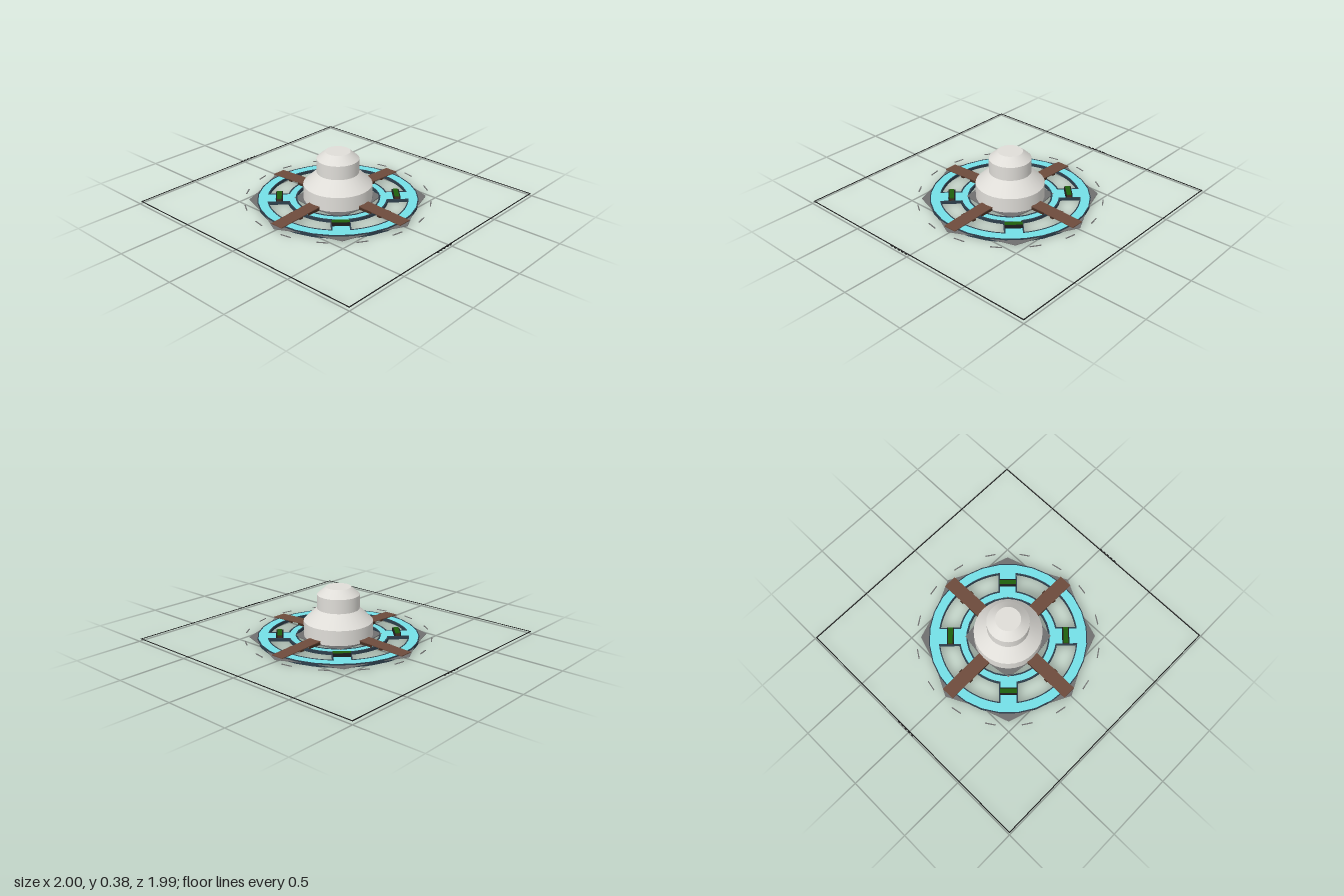
import * as THREE from 'three';

const mat = (name, color) => Object.assign(new THREE.MeshStandardMaterial({ color }), { name });

export function createModel() {
  const model = new THREE.Group();
  model.name = 'domedPlatform';
  const stone = mat('paleStone', 0xdfddd8);
  const cyan = mat('cyan', 0x74dfe7);
  const trimMat = mat('darkTrim', 0x2e3f4c);
  const brown = mat('brownWood', 0x6d4b3c);
  const darkBrown = mat('darkWood', 0x462e22);
  const green = mat('green', 0x1f600c);
  const grey = mat('grey', 0x707070);
  const black = mat('black', 0x1c1c1c);

  const add = (name, geometry, material, parent = model) => {
    const mesh = new THREE.Mesh(geometry, material);
    mesh.name = name;
    parent.add(mesh);
    return mesh;
  };
  const box = (name, size, pos, material, parent) => {
    const mesh = add(name, new THREE.BoxGeometry(...size), material, parent);
    mesh.position.set(...pos);
    return mesh;
  };
  // Flat plate: a shape drawn on the ground plane and raised from y0 to y1
  const plate = (name, shape, y0, y1, material) => {
    const g = new THREE.ExtrudeGeometry(shape, { depth: y1 - y0, bevelEnabled: false, curveSegments: 14 });
    g.rotateX(-Math.PI / 2).translate(0, y0, 0);
    return add(name, g, material);
  };
  const circle = (r, Kind = THREE.Path) => new Kind().absarc(0, 0, r, 0, Math.PI * 2, false);
  const ring = (name, rOut, rIn, y0, y1, material) => {
    const shape = circle(rOut, THREE.Shape);
    shape.holes.push(circle(rIn));
    return plate(name, shape, y0, y1, material);
  };
  // Opening between two diagonal spokes; half is half the spoke width
  const opening = (i, rOut, rIn, half, Kind = THREE.Path) => {
    const a = Math.PI / 4 + i * Math.PI / 2, b = a + Math.PI / 2;
    const o = Math.asin(half / rOut), n = Math.asin(half / rIn);
    const p = new Kind();
    p.absarc(0, 0, rOut, a + o, b - o, false);
    p.absarc(0, 0, rIn, b - n, a + n, true);
    p.closePath();
    return p;
  };
  const polar = (r, a) => new THREE.Vector2(r * Math.cos(a), r * Math.sin(a));

  // Stepped dome: stacked bands with sharp edges between them
  const profile = [[0.248, 0.027], [0.248, 0.136], [0.152, 0.227], [0.152, 0.329], [0.09, 0.383]];
  for (let i = 0; i < profile.length - 1; i++) {
    const [r0, y0] = profile[i], [r1, y1] = profile[i + 1];
    add('domeBand', new THREE.CylinderGeometry(r1, r0, y1 - y0, 32, 1, true), stone).position.y = (y0 + y1) / 2;
  }
  const cap = add('domeTop', new THREE.CircleGeometry(0.09, 32), stone);
  cap.rotation.x = -Math.PI / 2;
  cap.position.y = 0.383;
  plate('domeFloor', circle(0.248, THREE.Shape), 0.018, 0.027, grey);

  // Wheel-shaped walkway with four diagonal spokes and dark edges
  const wheel = circle(0.577, THREE.Shape);
  wheel.holes.push(circle(0.302));
  for (let i = 0; i < 4; i++) wheel.holes.push(opening(i, 0.505, 0.352, 0.06));
  plate('walkway', wheel, 0, 0.024, [cyan, trimMat]);

  // Dark borders along the openings, the inner edge and the outer rim
  for (let i = 0; i < 4; i++) {
    const border = opening(i, 0.507, 0.35, 0.058, THREE.Shape);
    border.holes.push(opening(i, 0.499, 0.361, 0.068));
    plate('openingBorder', border, 0.004, 0.026, trimMat);
  }
  ring('innerBorder', 0.305, 0.294, 0.004, 0.026, trimMat);
  ring('outerBorder', 0.58, 0.573, 0.004, 0.026, trimMat);

  // Eight thin pointed corners around the walkway
  for (let i = 0; i < 8; i++) {
    const a = i * Math.PI / 4, w = 0.29;
    const corner = new THREE.Shape([polar(0.636, a), polar(0.578, a + w), polar(0.555, a), polar(0.578, a - w)]);
    plate('outerCorner', corner, 0.014, 0.018, grey);
  }

  for (let i = 0; i < 4; i++) {
    // Pointed corners at the foot of the dome
    const d = Math.PI / 4 + i * Math.PI / 2;
    const foot = new THREE.Shape([polar(0.312, d), polar(0.25, d + 0.58), polar(0.2, d), polar(0.25, d - 0.58)]);
    plate('domeCorner', foot, 0.019, 0.026, grey);

    // Thin plank bridge running outward from the dome, with dark rails at its inner end
    const bridge = new THREE.Group();
    bridge.name = 'bridge';
    bridge.rotation.y = i * Math.PI / 2;
    model.add(bridge);
    const plank = new THREE.BoxGeometry(0.37, 0.006, 0.1);
    plank.translate(0.427, 0.03, 0);
    const p = plank.attributes.position;
    for (let k = 0; k < p.count; k++) if (p.getX(k) < 0.4) p.setY(k, p.getY(k) + 0.018);
    plank.computeVertexNormals();
    add('plank', plank, brown, bridge);
    for (const s of [-1, 1]) {
      box('plankRail', [0.11, 0.018, 0.006], [0.3, 0.034, s * 0.048], darkBrown, bridge);
      box('plankClip', [0.028, 0.01, 0.014], [0.43, 0.034, s * 0.05], darkBrown, bridge);
    }

    // Dark wooden block with a green top and black bars, lying across each spoke
    const block = new THREE.Group();
    block.name = 'spokeBlock';
    block.rotation.y = d;
    model.add(block);
    box('blockBody', [0.034, 0.022, 0.122], [0.42, 0.035, 0], darkBrown, block);
    box('blockTop', [0.034, 0.005, 0.122], [0.42, 0.0485, 0], green, block);
    for (const s of [-1, 1]) {
      box('blockBar', [0.008, 0.024, 0.122], [0.42 + s * 0.021, 0.036, 0], black, block);
    }
  }

  // Ring of short dashes around the platform
  for (let i = 0; i < 16; i++) {
    const a = (i + 0.5) * Math.PI / 8;
    box('ringDash', [0.008, 0.004, 0.078], [0.666 * Math.cos(a), 0.018, -0.666 * Math.sin(a)], grey).rotation.y = a;
  }

  // Thin square boundary with small ticks on two sides
  for (const s of [-1, 1]) {
    box('boundarySide', [0.007, 0.003, 1.987], [s * 0.99, 0.018, 0], black);
    box('boundaryEnd', [1.987, 0.003, 0.007], [0, 0.018, s * 0.99], black);
    const middle = s > 0 ? 0.08 : -0.03;
    for (let k = -2; k <= 2; k++) {
      box('boundaryTick', [0.008, 0.005, 0.018], [s * 0.996, 0.018, middle + k * 0.034], black);
    }
  }
  return model;
}
